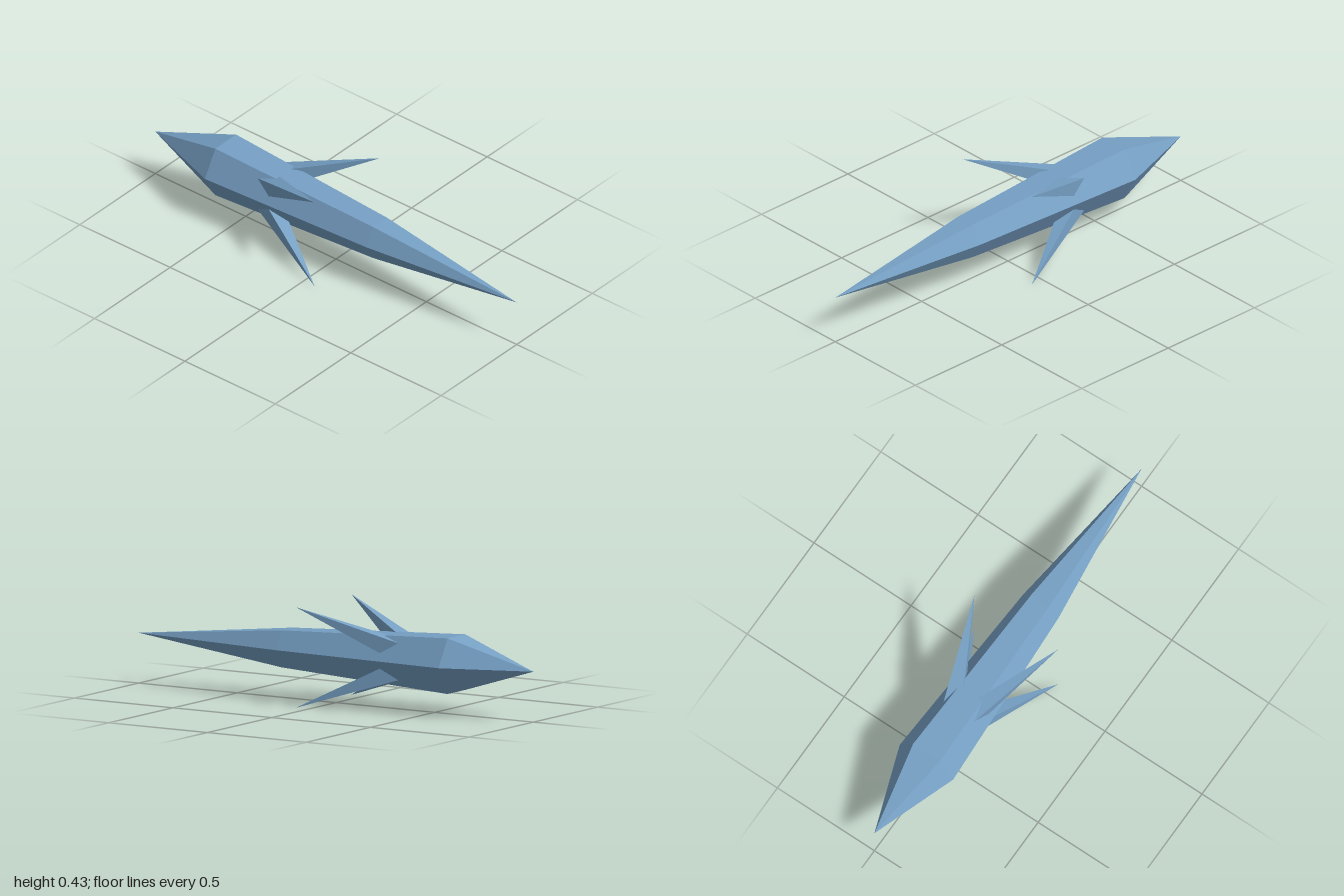
import * as THREE from 'three';

const CENTER_Y = 0.217;

export function createModel() {
  const model = new THREE.Group();
  model.name = 'spikedDart';
  const steelBlue = new THREE.MeshStandardMaterial({ color: 0x76a0c4 });
  steelBlue.name = 'steelBlue';
  steelBlue.flatShading = true;

  // Six-sided body: long tapering nose towards +z, short pointed tail
  const profile = [[0, -1], [0.138, -0.61], [0.092, 0.245], [0, 1]]
    .map(([r, z]) => new THREE.Vector2(r, z));
  const bodyGeometry = new THREE.LatheGeometry(profile, 6, Math.PI / 2);
  bodyGeometry.rotateX(Math.PI / 2);
  const body = new THREE.Mesh(bodyGeometry, steelBlue);
  body.name = 'body';
  body.position.y = CENTER_Y;
  model.add(body);

  // Four forward-leaning, four-sided spikes on the diagonals, roots buried in the body
  const length = 0.495;
  const lean = THREE.MathUtils.degToRad(31);
  const tipRadius = 0.306;
  const names = ['upperLeftSpike', 'upperRightSpike', 'lowerRightSpike', 'lowerLeftSpike'];
  names.forEach((name, i) => {
    const angle = Math.PI / 4 + i * Math.PI / 2;
    const geometry = new THREE.ConeGeometry(length * 0.118, length, 4);
    geometry.translate(0, -length / 2, 0);
    geometry.rotateX(Math.PI / 2 - lean);
    geometry.rotateZ(angle - Math.PI / 2);
    const spike = new THREE.Mesh(geometry, steelBlue);
    spike.name = name;
    spike.position.set(
      tipRadius * Math.cos(angle),
      CENTER_Y + tipRadius * Math.sin(angle),
      0.063
    );
    model.add(spike);
  });

  return model;
}
